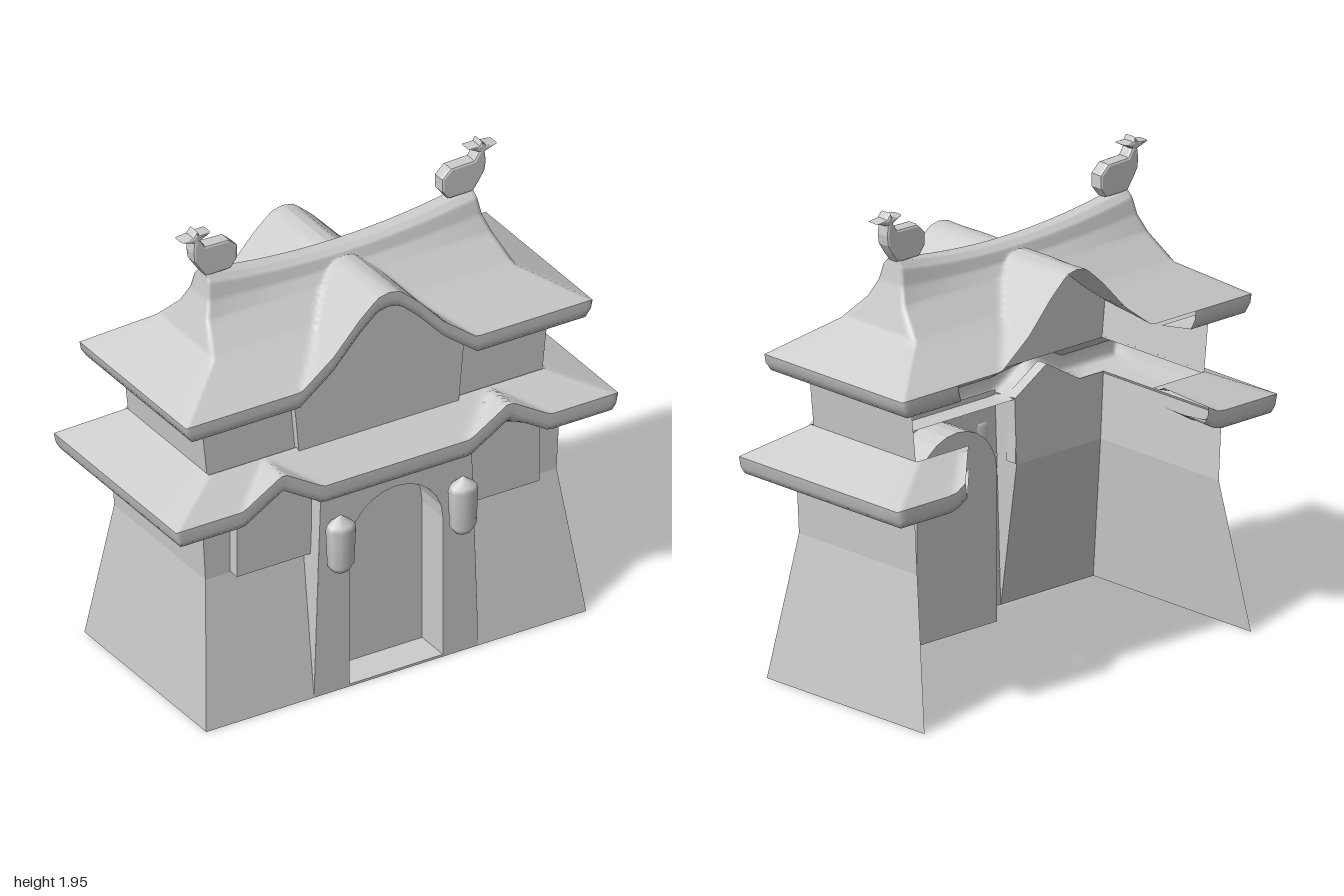
import * as THREE from 'three';

const plaster = new THREE.MeshStandardMaterial({ color: 0xcccccc, side: THREE.DoubleSide });
plaster.name = 'pale grey';

const ZC = -0.035; // depth centre of both roofs
const lerp = THREE.MathUtils.lerp;

function mesh(name, geometry, parent) {
  const m = new THREE.Mesh(geometry, plaster);
  m.name = name;
  parent.add(m);
  return m;
}

// Skin between rows of points; flat gives every panel its own normal
function sheet(rows, flat = false) {
  const n = rows[0].length, index = [];
  for (let r = 0; r < rows.length - 1; r++) {
    for (let i = 0; i < n - 1; i++) {
      const a = r * n + i, b = a + n;
      index.push(a, a + 1, b + 1, a, b + 1, b);
    }
  }
  let g = new THREE.BufferGeometry();
  g.setAttribute('position', new THREE.Float32BufferAttribute(rows.flat(2), 3));
  g.setIndex(index);
  if (flat) g = g.toNonIndexed();
  g.computeVertexNormals();
  return g;
}

const polygon = pts => new THREE.Shape(pts.map(p => new THREE.Vector2(...p)));

// Walk round a unit rectangle, leaving the back open between -cut and +cut
function perimeter(cut) {
  const path = [];
  const line = (a, b, n) => {
    for (let i = 0; i < n; i++) path.push([lerp(a[0], b[0], i / n), lerp(a[1], b[1], i / n)]);
  };
  const backSteps = cut ? 8 : 40;
  line([cut, -1], [1, -1], backSteps);
  line([1, -1], [1, 1], 8);
  line([1, 1], [-1, 1], 80);
  line([-1, 1], [-1, -1], 8);
  line([-1, -1], [-cut, -1], backSteps);
  path.push([-cut, -1]);
  return path;
}

// Roof skin from rings [halfWidth, halfDepth, y, sag, gableDrop]; gables rise out of it
function roofSkin(rings, cut, gable, steps) {
  const path = perimeter(cut), rows = [];
  for (let r = 0; r < rings.length - 1; r++) {
    for (let s = r ? 1 : 0; s <= steps; s++) {
      const [hx, hz, y, sag, drop] = rings[r].map((v, k) => lerp(v, rings[r + 1][k], s / steps));
      rows.push(path.map(([u, v]) => {
        const x = u * hx;
        return [x, Math.max(y + sag * u * u, gable(x) - drop), ZC + v * hz];
      }));
    }
  }
  return sheet(rows);
}

// Gable outlines
function upperGable(x) {
  const pts = [[0, 1.66], [0.05, 1.65], [0.13, 1.58], [0.25, 1.45], [0.4, 1.335], [2, 0.8]];
  const a = Math.abs(x);
  const i = pts.findIndex(p => a < p[0]);
  if (i < 1) return 0;
  const [p, q] = [pts[i - 1], pts[i]];
  return lerp(p[1], q[1], (a - p[0]) / (q[0] - p[0]));
}
const lowerGable = x => 1.04 - 0.61 * Math.abs(Math.abs(x) - 0.51);

// Everything that exists once on each side
function sideParts() {
  const g = new THREE.Group();

  // Battered lower wall: back edge, front corner, edge beside the gate
  mesh('lowerWall', sheet([
    [[0.855, 0, -0.48], [0.855, 0, 0.4], [0.37, 0, 0.4]],
    [[0.79, 0.6, -0.37], [0.79, 0.6, 0.29], [0.35, 0.6, 0.29]],
    [[0.805, 0.87, -0.37], [0.805, 0.87, 0.29], [0.34, 0.87, 0.29]],
  ], true), g);

  // Cheek of the projecting gate front
  mesh('gateCheek', sheet([
    [[0.37, 0, 0.4], [0.37, 0, 0.399]],
    [[0.35, 0.6, 0.4], [0.35, 0.6, 0.29]],
    [[0.34, 0.87, 0.4], [0.34, 0.87, 0.29]],
  ], true), g);

  // Raised panel under the small gable
  const panel = mesh('gablePanel', new THREE.ExtrudeGeometry(
    polygon([[0.345, 0.605], [0.68, 0.605], [0.68, 0.87], [0.51, 0.97], [0.345, 0.87]]),
    { depth: 0.05, bevelEnabled: false }), g);
  panel.position.z = 0.292;

  // Upper storey wall
  mesh('upperWall', sheet([
    [[0.755, 1.03, -0.325], [0.755, 1.03, 0.245], [0.36, 1.03, 0.245]],
    [[0.785, 1.32, -0.325], [0.785, 1.32, 0.245], [0.385, 1.32, 0.245]],
  ], true), g);

  // Hanging lantern
  const profile = [[0, 0.56], [0.035, 0.56], [0.055, 0.585], [0.062, 0.745], [0.055, 0.765], [0, 0.805]];
  const lantern = mesh('lantern',
    new THREE.LatheGeometry(profile.map(p => new THREE.Vector2(...p)), 8, Math.PI / 8), g);
  lantern.position.set(0.275, 0, 0.441);
  lantern.scale.z = 0.78;

  // Ridge-end ornament with a forked tail
  const fish = polygon([
    [0.49, 1.74], [0.6, 1.74], [0.63, 1.78], [0.655, 1.82], [0.66, 1.86], [0.655, 1.9],
    [0.71, 1.92], [0.66, 1.928], [0.64, 1.95], [0.63, 1.932], [0.58, 1.93], [0.625, 1.905],
    [0.605, 1.875], [0.5, 1.872], [0.46, 1.835], [0.46, 1.78],
  ]);
  const ornament = mesh('ridgeOrnament', new THREE.ExtrudeGeometry(fish, {
    depth: 0.036, bevelThickness: 0.012, bevelSize: 0.01, bevelOffset: -0.01, bevelSegments: 2,
  }), g);
  ornament.position.z = -0.053;
  return g;
}

export function createModel() {
  const model = new THREE.Group();
  model.name = 'castleGate';

  const left = sideParts();
  left.name = 'leftSide';
  const right = sideParts();
  right.name = 'rightSide';
  right.scale.x = -1;
  model.add(left, right);

  // Gate front with an arched opening
  const archPoints = [[-0.21, 0.01], [-0.21, 0.62]];
  for (let i = 1; i < 12; i++) {
    const a = Math.PI * (1 - i / 12);
    archPoints.push([0.21 * Math.cos(a), 0.62 + 0.205 * Math.sin(a)]);
  }
  archPoints.push([0.21, 0.62], [0.21, 0.01]);
  const front = polygon([[-0.37, 0], [0.37, 0], [0.34, 0.88], [-0.34, 0.88]]);
  front.holes.push(polygon(archPoints));
  mesh('gateFront', new THREE.ShapeGeometry(front), model).position.z = 0.4;

  // Recess lining, including the sill, and the closed door
  const loop = [...archPoints, archPoints[0]];
  mesh('gateRecess', sheet([0.4, 0.25].map(z => loop.map(([x, y]) => [x, y, z])), true), model);
  mesh('gateDoor', new THREE.ShapeGeometry(polygon(archPoints)), model).position.z = 0.25;

  // Gable wall of the upper storey
  mesh('gableWall', new THREE.ExtrudeGeometry(
    polygon([[-0.36, 1.03], [0.36, 1.03], [0.385, 1.3], [0.13, 1.54], [0, 1.63], [-0.13, 1.54], [-0.385, 1.3]]),
    { depth: 0.03, bevelEnabled: false }), model).position.z = 0.245;

  // Lower roof: slope, then fascia and soffit, all open in the middle of the back
  mesh('lowerRoof', roofSkin([
    [0.995, 0.442, 0.93, 0, 0], [0.755, 0.295, 1.04, 0, 0],
  ], 0.64, lowerGable, 10), model);
  mesh('lowerEave', roofSkin([
    [0.995, 0.442, 0.93, 0, 0], [0.985, 0.442, 0.885, 0, 0.045],
    [0.97, 0.435, 0.858, 0, 0.075], [0.8, 0.33, 0.865, 0, 0.075],
  ], 0.64, lowerGable, 1), model);

  // Upper roof: concave hips up to a sagging ridge
  mesh('upperRoof', roofSkin([
    [0.915, 0.385, 1.34, 0, 0], [0.68, 0.205, 1.48, 0, 0], [0.64, 0.1, 1.585, 0, 0],
    [0.615, 0.065, 1.625, 0.03, 0], [0.605, 0.05, 1.67, 0.05, 0],
    [0.6, 0.025, 1.69, 0.06, 0], [0.6, 0, 1.69, 0.06, 0],
  ], 0, upperGable, 6), model);
  mesh('upperEave', roofSkin([
    [0.915, 0.385, 1.34, 0, 0], [0.908, 0.385, 1.305, 0, 0.035],
    [0.885, 0.38, 1.27, 0, 0.065], [0.78, 0.29, 1.28, 0, 0.065],
  ], 0.68, upperGable, 1), model);

  return model;
}
